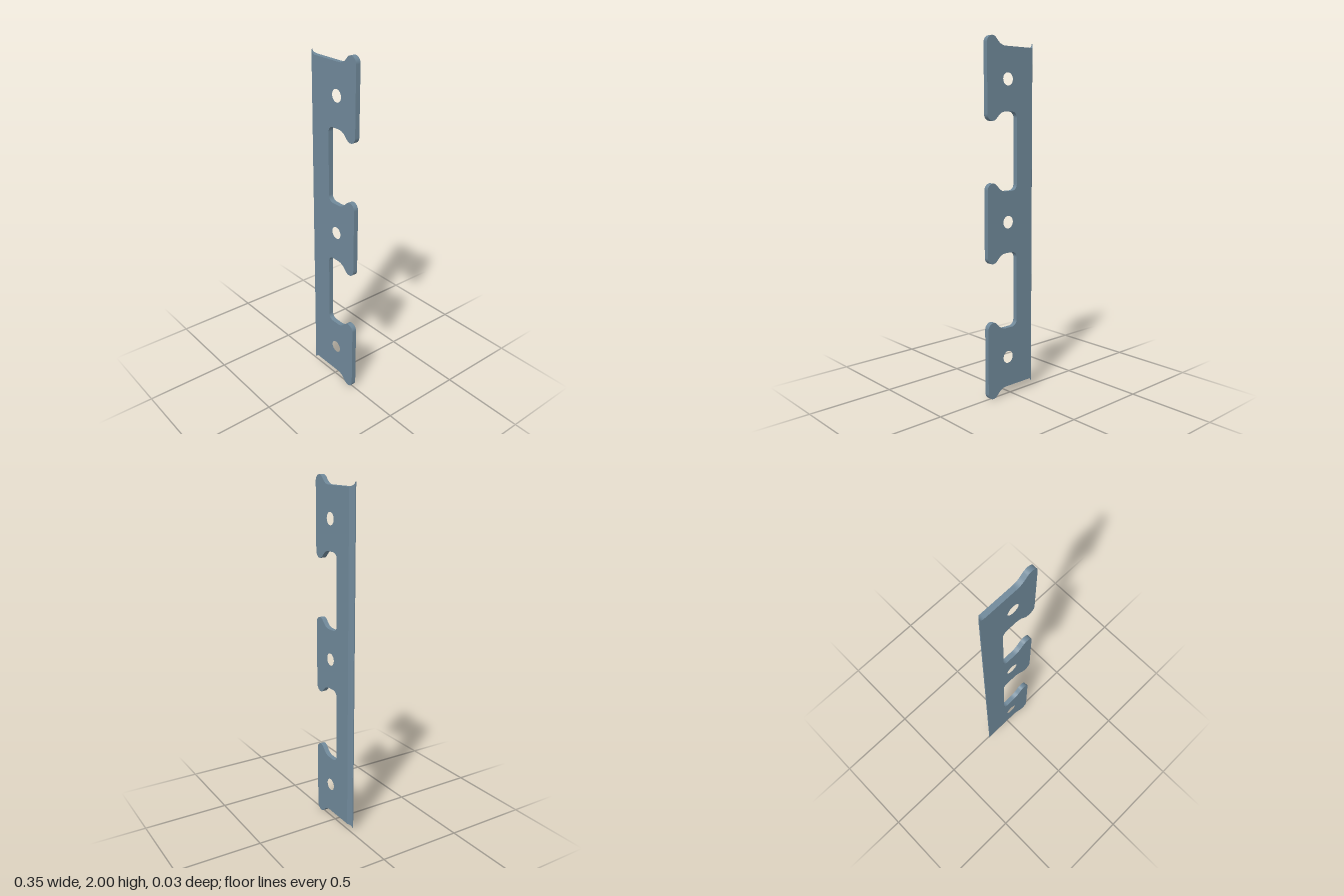
import * as THREE from 'three';
import { mergeGeometries, toCreasedNormals } from 'three/addons/utils/BufferGeometryUtils.js';

const T = 0.028;                        // plate thickness
const PITCH = 0.778;                    // spacing of the three hooks
const EDGE = -0.175, CREASE = -0.153;   // knife edge, and start of its bevel
const FLAT = 0.173;                     // half height of a hook at its neck
const FLARE = { x: -0.145, y: 0.198, rx: 0.03, ry: 0.025 };
const flareSplit = Math.PI + Math.acos((FLARE.x - CREASE) / FLARE.rx);
const flareStart = Math.PI + Math.acos((FLARE.x - EDGE) / FLARE.rx);

const mirrorY = (pts) => pts.map((p) => new THREE.Vector2(p.x, -p.y)).reverse();
const shiftY = (pts, dy) => pts.map((p) => new THREE.Vector2(p.x, p.y + dy));

// Upper outline of one hook, from the spine out to the rounded tip
function hookEdge(isEnd) {
  const p = new THREE.Path();
  if (isEnd) p.absellipse(FLARE.x, FLARE.y, FLARE.rx, FLARE.ry, flareSplit, Math.PI * 1.5, false);
  else p.absarc(-0.003, FLAT + 0.035, 0.035, Math.PI, Math.PI * 1.5, false);
  p.lineTo(0.043, FLAT);
  p.quadraticCurveTo(0.073, FLAT, 0.094, FLAT + 0.021);
  p.absarc(0.137, 0.185, 0.037, Math.PI * 0.75, 0, true);
  return p.getPoints(12);
}

// Extrude and drop the hidden walls where plate and bevel strip meet
function extrude(shape) {
  const g = new THREE.ExtrudeGeometry(shape, { depth: T, bevelEnabled: false, curveSegments: 24 });
  g.translate(0, 0, -T / 2);
  const src = g.attributes.position.array, kept = [];
  for (let i = 0; i < src.length; i += 9) {
    const onSeam = [0, 3, 6].every((k) => Math.abs(src[i + k] - CREASE) < 1e-5);
    if (!onSeam) kept.push(...src.slice(i, i + 9));
  }
  const out = new THREE.BufferGeometry();
  out.setAttribute('position', new THREE.Float32BufferAttribute(kept, 3));
  return out;
}

// Spine with three hooks and their screw holes
function plateGeometry() {
  const outline = [1, 0, -1].flatMap((i) => shiftY(
    [...hookEdge(i === 1), ...mirrorY(hookEdge(i === -1))], 1 + i * PITCH));
  const shape = new THREE.Shape(outline);
  for (const i of [1, 0, -1]) {
    shape.holes.push(new THREE.Path().absarc(0.027, 1 + i * PITCH, 0.035, 0, Math.PI * 2, true));
  }
  return extrude(shape);
}

// Strip along the spine, bevelled at the back to a thin edge
function bevelGeometry() {
  const top = new THREE.Path()
    .absellipse(FLARE.x, FLARE.y, FLARE.rx, FLARE.ry, flareStart, flareSplit, false)
    .getPoints(12);
  const shape = new THREE.Shape([...shiftY(top, 1 + PITCH), ...shiftY(mirrorY(top), 1 - PITCH)]);
  const g = extrude(shape);
  const p = g.attributes.position;
  for (let i = 0; i < p.count; i++) {
    if (p.getZ(i) < 0) p.setZ(i, -T / 2 + (CREASE - p.getX(i)));
  }
  return g;
}

export function createModel() {
  const group = new THREE.Group();
  group.name = 'hookPlate';
  // Enlarged while creasing so that close vertices stay separate
  const merged = mergeGeometries([plateGeometry(), bevelGeometry()]).scale(100, 100, 100);
  const geometry = toCreasedNormals(merged, 0.6).scale(0.01, 0.01, 0.01);
  const plate = new THREE.Mesh(geometry, new THREE.MeshStandardMaterial({ color: 0x6f8899 }));
  plate.name = 'bevelledPlate';
  group.add(plate);
  return group;
}
